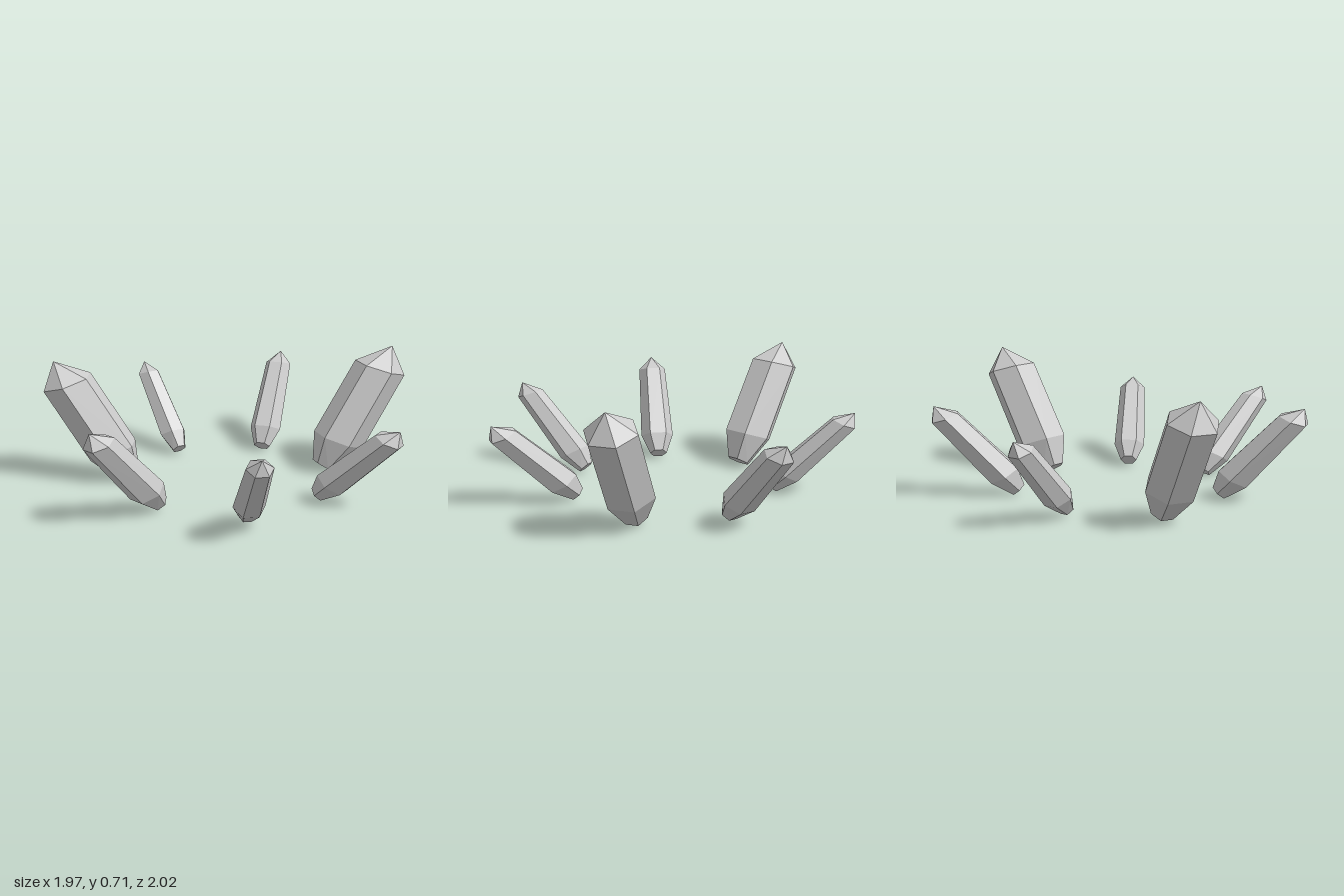
import * as THREE from 'three';
import { ConvexGeometry } from 'three/addons/geometries/ConvexGeometry.js';

const SIDES = 6;
const material = new THREE.MeshStandardMaterial({ color: 0xcccccc, flatShading: true });

// Ring settings: t = place along the axis, r = share of the radius,
// slant = how far the outward side is pushed along the axis
const SMALL = [
  { t: 0, r: 0.52, slant: 0 },
  { t: 0.18, r: 1, slant: 0.27 },
  { t: 0.87, r: 0.83, slant: 0.45 },
];
const LARGE = [
  { t: 0, r: 0.48, slant: 0 },
  { t: 0.22, r: 1, slant: 0.2 },
  { t: 0.82, r: 0.99, slant: 0.25 },
];

// Six-sided crystal from a blunt foot to a pointed tip, one flat facing outward
function crystal(name, base, tip, radius, rings) {
  const foot = new THREE.Vector3(...base);
  const apex = new THREE.Vector3(...tip);
  const axis = apex.clone().sub(foot).normalize();
  const side = new THREE.Vector3().crossVectors(axis, new THREE.Vector3(0, 1, 0)).normalize();
  const out = new THREE.Vector3().crossVectors(axis, side).normalize();
  if (out.y > 0) out.negate(); // the outward, underside direction

  const points = [apex];
  for (const { t, r, slant } of rings) {
    const centre = foot.clone().lerp(apex, t);
    for (let i = 0; i < SIDES; i++) {
      const a = ((i + 0.5) / SIDES) * Math.PI * 2;
      const x = Math.cos(a) * r * radius;
      const z = Math.sin(a) * r * radius;
      points.push(centre.clone()
        .addScaledVector(out, x)
        .addScaledVector(side, z)
        .addScaledVector(axis, x * slant));
    }
  }
  const mesh = new THREE.Mesh(new ConvexGeometry(points), material);
  mesh.name = name;
  return mesh;
}

export function createModel() {
  const model = new THREE.Group();
  model.name = 'crystalRing';

  // Seven crystals in a ring, all leaning outward
  model.add(
    crystal('leftCrystal', [0.5, 0.045, 0.005], [0.965, 0.47, 0], 0.09, SMALL),
    crystal('frontLeftCrystal', [0.315, 0.035, 0.455], [0.6, 0.49, 0.795], 0.086, SMALL),
    crystal('frontCrystal', [-0.17, 0.04, 0.55], [-0.28, 0.53, 0.99], 0.096, SMALL),
    crystal('frontRightLargeCrystal', [-0.57, 0.035, 0.26], [-0.93, 0.69, 0.45], 0.142, LARGE),
    crystal('backRightCrystal', [-0.56, 0.04, -0.24], [-0.95, 0.48, -0.45], 0.08, SMALL),
    crystal('backCrystal', [-0.17, 0.035, -0.555], [-0.285, 0.515, -0.99], 0.092, SMALL),
    crystal('backLeftLargeCrystal', [0.31, 0.035, -0.43], [0.57, 0.71, -0.76], 0.145, LARGE),
  );
  return model;
}
